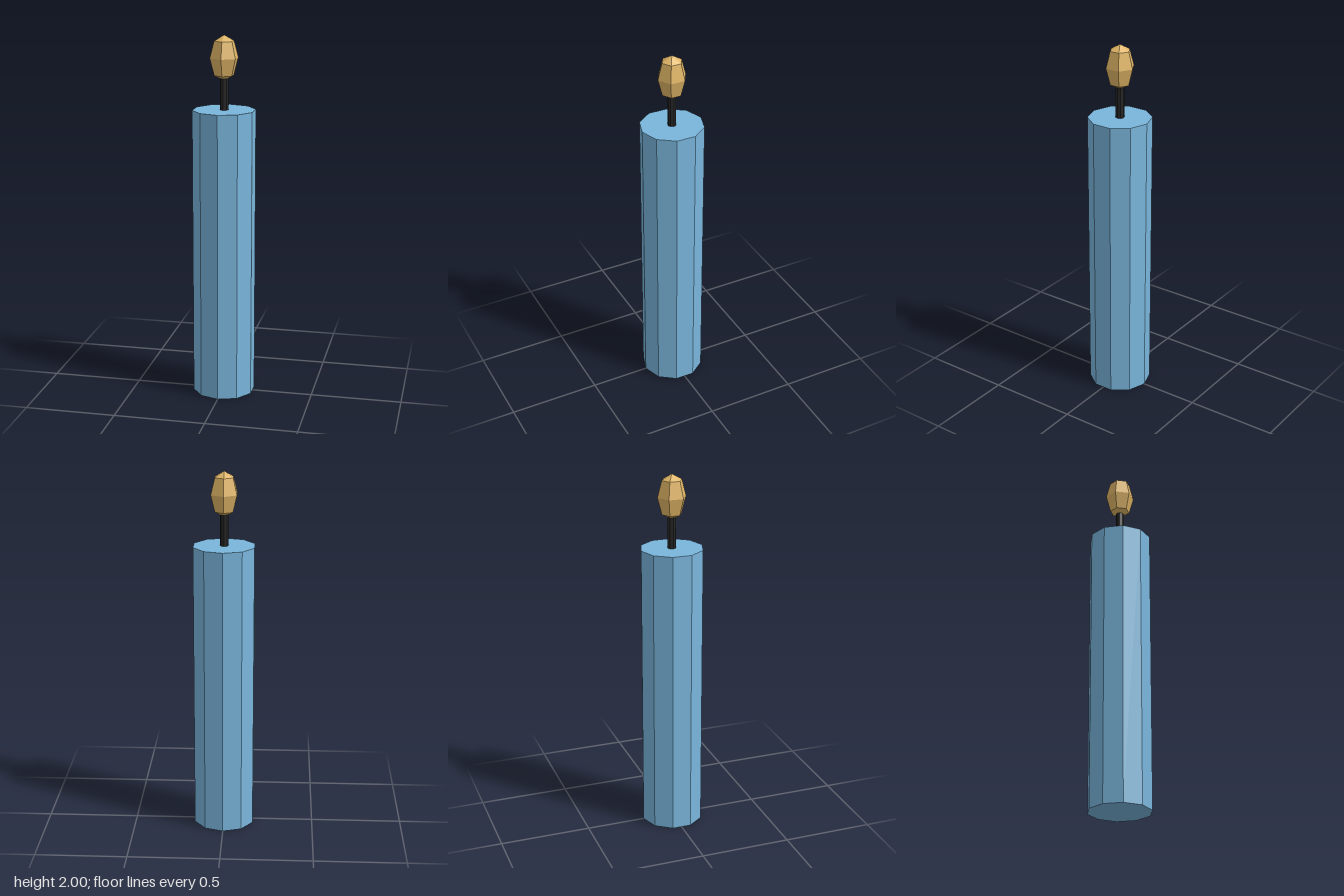
import * as THREE from 'three';

const flat = (name, color) => {
  const m = new THREE.MeshStandardMaterial({ color, flatShading: true });
  m.name = name;
  return m;
};

export function createModel() {
  const group = new THREE.Group();
  group.name = 'candle';
  const add = (name, geometry, material, y = 0) => {
    const mesh = new THREE.Mesh(geometry, material);
    mesh.name = name;
    mesh.position.y = y;
    group.add(mesh);
  };

  // Ten-sided wax body
  add('waxBody', new THREE.CylinderGeometry(0.172, 0.172, 1.6, 10), flat('blue wax', 0x7ab6dc), 0.8);

  // Thin wick, running a little way into the flame
  add('wick', new THREE.CylinderGeometry(0.023, 0.023, 0.2, 8), flat('black wick', 0x262626), 1.69);

  // Six-sided faceted flame, closed at both tips
  const profile = [[0, 1.757], [0.055, 1.785], [0.08, 1.878], [0.056, 1.968], [0, 2]]
    .map(([r, y]) => new THREE.Vector2(r, y));
  add('flame', new THREE.LatheGeometry(profile, 6), flat('golden flame', 0xdfb566));

  return group;
}
